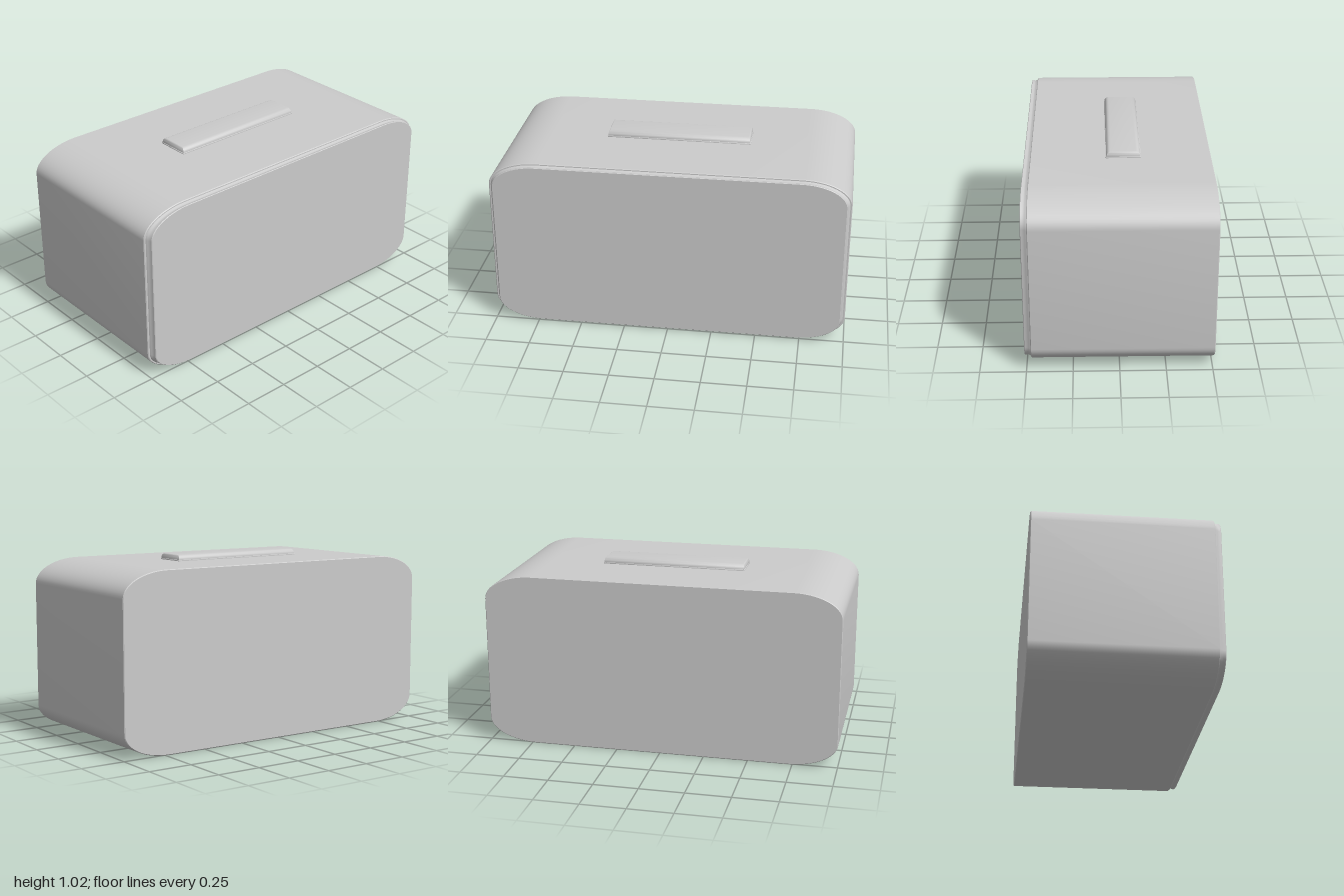
import * as THREE from 'three';
import { toCreasedNormals } from 'three/addons/utils/BufferGeometryUtils.js';

const STEPS = 14; // segments per rounded corner

// Outline of a rectangle (half sizes w, h) with elliptical corners, counter-clockwise
function outline(w, h, rx, ry) {
  const pts = [];
  for (let q = 0; q < 4; q++) {
    const sx = q === 0 || q === 3 ? 1 : -1;
    const sy = q < 2 ? 1 : -1;
    for (let i = 0; i <= STEPS; i++) {
      const a = (q + i / STEPS) * Math.PI / 2;
      pts.push([sx * (w - rx) + rx * Math.cos(a), sy * (h - ry) + ry * Math.sin(a)]);
    }
  }
  return pts;
}

// Closed solid through rings [inset x, inset y, z], ordered along +z
function loft(w, h, rx, ry, rings) {
  const pos = [], idx = [];
  const n = 4 * (STEPS + 1);
  for (const [ix, iy, z] of rings) {
    for (const [x, y] of outline(w - ix, h - iy, Math.max(rx - ix, 0.001), Math.max(ry - iy, 0.001))) pos.push(x, y, z);
  }
  for (let r = 0; r < rings.length - 1; r++) {
    for (let i = 0; i < n; i++) {
      const a = r * n + i, b = r * n + (i + 1) % n;
      idx.push(a, b, b + n, a, b + n, a + n);
    }
  }
  // flat end caps
  const last = rings.length - 1;
  const back = pos.length / 3;
  pos.push(0, 0, rings[0][2], 0, 0, rings[last][2]);
  for (let i = 0; i < n; i++) {
    const j = (i + 1) % n;
    idx.push(back, j, i, back + 1, last * n + i, last * n + j);
  }
  const g = new THREE.BufferGeometry();
  g.setAttribute('position', new THREE.Float32BufferAttribute(pos, 3));
  g.setIndex(idx);
  return toCreasedNormals(g, 0.6);
}

export function createModel() {
  const group = new THREE.Group();
  const material = new THREE.MeshStandardMaterial({ color: 0xcccccc });
  const add = (name, geometry, x, y, z) => {
    const mesh = new THREE.Mesh(geometry, material);
    mesh.name = name;
    mesh.position.set(x, y, z);
    group.add(mesh);
    return mesh;
  };
  const W = 1, H = 0.4925, RX = 0.27, RY = 0.14;

  // Main casing
  add('casing', loft(W, H, RX, RY, [
    [0.004, 0.004, -0.51], [0, 0, -0.506],
    [0, 0, 0.471], [0.004, 0.004, 0.475],
  ]), 0, H, 0);

  // Front panel with a shallow groove around its rim
  add('frontPanel', loft(W, H, RX, RY, [
    [0.01, 0.008, 0.47], [0.013, 0.011, 0.479], [0.017, 0.015, 0.485],
    [0.021, 0.016, 0.493], [0.023, 0.012, 0.501],
    [0.024, 0.010, 0.507], [0.028, 0.013, 0.51],
  ]), 0, H, 0);

  // Long top button with a rounded upper edge
  const rings = [[0, 0, 0], [0, 0, 0.006]];
  for (let i = 0; i <= 6; i++) {
    const a = i / 6 * Math.PI / 2;
    rings.push([0.003 + 0.010 * (1 - Math.cos(a)), 0.003 + 0.025 * (1 - Math.cos(a)), 0.008 + 0.028 * Math.sin(a)]);
  }
  const button = add('topButton', loft(0.41, 0.096, 0.004, 0.004, rings), 0.005, 0.984, -0.032);
  button.rotation.x = -Math.PI / 2;

  return group;
}
